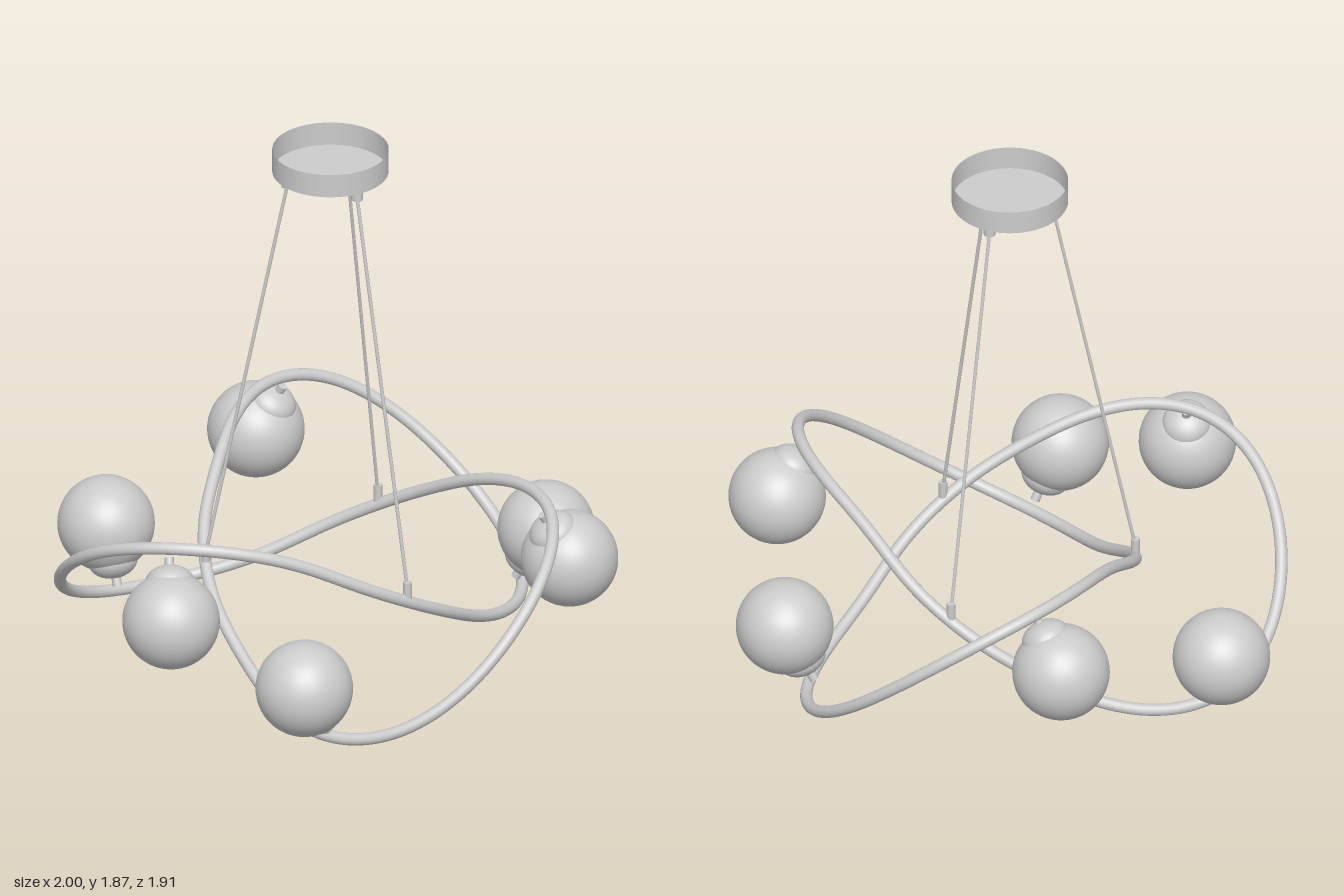
import * as THREE from 'three';

const CX = 0.019, CZ = -0.019;       // axis of the lamp
const MID = 0.325, AMP = 0.302;      // mean height and swing of the looping ring
const UP = new THREE.Vector3(0, 1, 0);
const mat = new THREE.MeshStandardMaterial({ color: 0xcccccc });
const matOpen = new THREE.MeshStandardMaterial({ color: 0xcccccc, side: THREE.DoubleSide });

// point at an angle (clockwise from the back) around the lamp axis
function polar(angle, r, y) {
  return new THREE.Vector3(CX + r * Math.sin(angle), y, CZ - r * Math.cos(angle));
}

function mesh(name, geometry, material = mat) {
  const m = new THREE.Mesh(geometry, material);
  m.name = name;
  return m;
}

// round bar between two points
function rod(name, a, b, r, segments = 16) {
  const d = b.clone().sub(a);
  const m = mesh(name, new THREE.CylinderGeometry(r, r, d.length(), segments));
  m.position.copy(a).addScaledVector(d, 0.5);
  m.quaternion.setFromUnitVectors(UP, d.normalize());
  return m;
}

// three-lobed knot: two turns around the axis, radius and height waving three times
class KnotCurve extends THREE.Curve {
  getPoint(t, target = new THREE.Vector3()) {
    const angle = t * Math.PI * 4, w = 1.5 * angle;
    const r = 0.6228 + 0.2515 * Math.cos(w) + 0.0547 * Math.cos(2 * w)
      - 0.005 * Math.cos(3 * w) - 0.006 * Math.cos(4 * w);
    const phase = w + 0.56 * Math.sin(w) + 0.04 * Math.sin(2 * w);
    return target.copy(polar(angle, r, MID - AMP * Math.sin(phase)));
  }
}

// glass ball with a domed holder and a short stem reaching the ring
function globe(center, anchor) {
  const g = new THREE.Group();
  g.name = 'globeLight';
  const c = new THREE.Vector3(...center);
  const d = new THREE.Vector3(...anchor).sub(c);
  const len = d.length();
  g.add(mesh('globe', new THREE.SphereGeometry(0.165, 48, 32)));
  const holder = mesh('holder', new THREE.SphereGeometry(0.084, 32, 12, 0, Math.PI * 2, 0, Math.PI / 2), matOpen);
  holder.scale.y = 0.72;
  holder.position.y = 0.13;
  const stem = mesh('stem', new THREE.CylinderGeometry(0.016, 0.016, len - 0.17, 16));
  stem.position.y = (len + 0.17) / 2;
  g.add(holder, stem);
  g.position.copy(c);
  g.quaternion.setFromUnitVectors(UP, d.normalize());
  return g;
}

export function createModel() {
  const model = new THREE.Group();
  model.name = 'pendantLamp';

  model.add(mesh('loopingRing', new THREE.TubeGeometry(new KnotCurve(), 480, 0.021, 16, true)));

  // ceiling canopy: a shallow cup open at the top
  const wall = mesh('canopyWall', new THREE.CylinderGeometry(0.197, 0.197, 0.084, 64, 1, true), matOpen);
  wall.position.set(CX, 1.829, CZ);
  const plate = mesh('canopyPlate', new THREE.CircleGeometry(0.197, 64), matOpen);
  plate.rotation.x = Math.PI / 2;
  plate.position.set(CX, 1.787, CZ);
  model.add(wall, plate);

  // three suspension cables with a fitting at each end
  for (let i = 0; i < 3; i++) {
    const a = i * Math.PI * 2 / 3;
    model.add(rod('upperFitting', polar(a, 0.147, 1.738), polar(a, 0.147, 1.786), 0.02));
    model.add(rod('cable', polar(a, 0.147, 1.745), polar(a, 0.425, 0.37), 0.006, 8));
    model.add(rod('lowerFitting', polar(a, 0.425, MID), polar(a, 0.425, 0.4), 0.015));
  }

  // globes hanging below the high bends and standing above the low bends
  const globes = [
    [[0.835, 0.412, -0.158], [0.768, 0.6, -0.08]],
    [[-0.511, 0.412, -0.652], [-0.408, 0.6, -0.64]],
    [[-0.235, 0.412, 0.785], [-0.28, 0.6, 0.692]],
    [[-0.835, 0.25, -0.105], [-0.765, 0.055, -0.037]],
    [[0.557, 0.25, -0.63], [0.452, 0.055, -0.613]],
    [[0.252, 0.25, 0.787], [0.299, 0.055, 0.692]],
  ];
  for (const [center, anchor] of globes) model.add(globe(center, anchor));

  return model;
}
